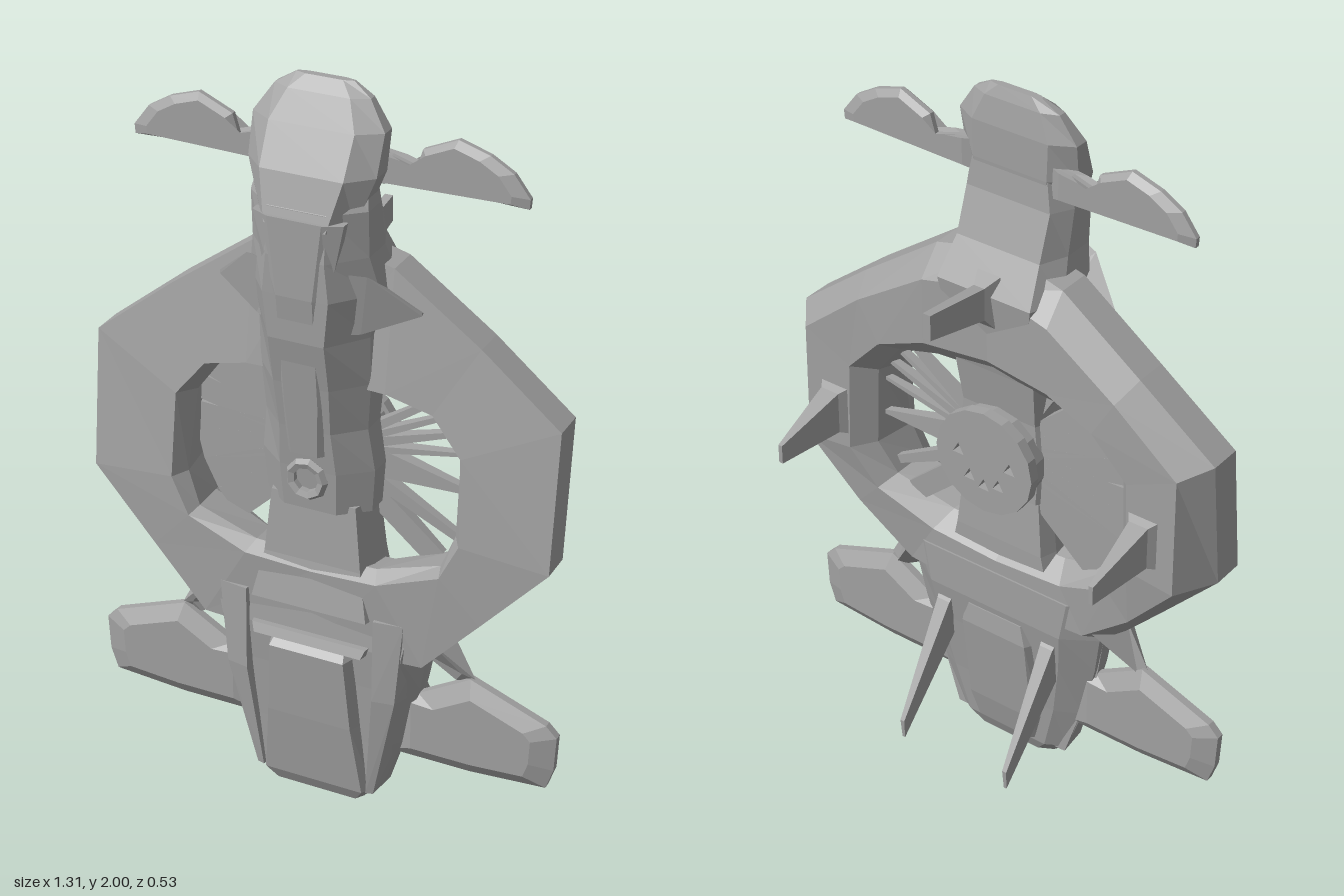
import * as THREE from 'three';

const hullGrey = new THREE.MeshStandardMaterial({ color: 0xa2a2a2, flatShading: true });
hullGrey.name = 'hull grey';

// Closed faceted solid through equal-length rings of [x,y,z]; loop joins the last ring to the first.
function loft(rings, loop = false) {
  const tris = [], n = rings[0].length, m = rings.length;
  for (let i = 0; i < (loop ? m : m - 1); i++) {
    const a = rings[i], b = rings[(i + 1) % m];
    for (let j = 0; j < n; j++) {
      const k = (j + 1) % n;
      tris.push([a[j], a[k], b[k]], [a[j], b[k], b[j]]);
    }
  }
  if (!loop) {
    const f = rings[0], l = rings[m - 1];
    for (let j = 1; j < n - 1; j++) tris.push([f[0], f[j + 1], f[j]], [l[0], l[j], l[j + 1]]);
  }
  // Turn the faces outward if the enclosed volume is negative
  let vol = 0;
  for (const [a, b, c] of tris)
    vol += a[0] * (b[1] * c[2] - b[2] * c[1]) + a[1] * (b[2] * c[0] - b[0] * c[2]) + a[2] * (b[0] * c[1] - b[1] * c[0]);
  const pos = tris.flatMap(([a, b, c]) => (vol < 0 ? [a, c, b] : [a, b, c])).flat();
  const g = new THREE.BufferGeometry();
  g.setAttribute('position', new THREE.Float32BufferAttribute(pos, 3));
  g.computeVertexNormals();
  return g;
}

// Upright body from rows [y, halfWidth, zFront, zBack]; front and back are narrowed by the factors.
function tower(rows, front = 0.6, back = 0.7) {
  return loft(rows.map(([y, w, zf, zb]) => {
    const p = zb + (zf - zb) * 0.65, q = zb + (zf - zb) * 0.3;
    return [[w * front, zf], [w, p], [w, q], [w * back, zb], [-w * back, zb], [-w, q], [-w, p], [-w * front, zf]]
      .map(([x, z]) => [x, y, z]);
  }));
}

// Lens-shaped plate in the xy plane: sharp outline, thicker inset middle.
function lens(outline, z, t, inset, s) {
  const c = outline.reduce((a, p) => [a[0] + p[0] / outline.length, a[1] + p[1] / outline.length], [0, 0]);
  const ring = (k, dz) => outline.map(([x, y]) => [s * (x + (c[0] - x) * k), y + (c[1] - y) * k, z + dz]);
  return loft([ring(inset, -t), ring(0, -t * 0.3), ring(0, t * 0.3), ring(inset, t)]);
}

// Tapered blade between two rectangles: [x, y, z, halfX, halfY].
function blade(...ends) {
  return loft(ends.map(([x, y, z, hx, hy]) =>
    [[x - hx, y - hy, z], [x + hx, y - hy, z], [x + hx, y + hy, z], [x - hx, y + hy, z]]));
}

export function createModel() {
  const model = new THREE.Group();
  const add = (name, geo) => {
    const m = new THREE.Mesh(geo, hullGrey);
    m.name = name;
    model.add(m);
    return m;
  };

  // Faceted ring hull: [outerX, outerY, innerX, innerY, zFront, zBack, inner front rise]
  const half = [
    [0, 1.6, 0, 1.2, 0.12, -0.03, 0.04], [0.19, 1.55, 0.19, 1.2, 0.12, -0.045, 0.04],
    [0.42, 1.385, 0.3, 1.18, 0.12, -0.05, 0.03], [0.635, 1.215, 0.365, 1.09, 0.13, -0.045, 0.03],
    [0.635, 0.84, 0.375, 0.87, 0.175, -0.045, 0.005], [0.46, 0.65, 0.34, 0.78, 0.185, -0.02, 0],
    [0.31, 0.49, 0.17, 0.73, 0.195, 0.005, 0], [0, 0.47, 0, 0.72, 0.19, 0.005, 0]];
  const around = [...half, ...half.slice(1, -1).reverse().map(([a, b, c, ...r]) => [-a, b, -c, ...r])];
  add('ringHull', loft(around.map(([ox, oy, ix, iy, zf, zb, rise]) => {
    const at = (k, z) => [ox + (ix - ox) * k, oy + (iy - oy) * k, z];
    return [at(0, zf - 0.01), at(0, zf - 0.1), at(0.22, zb), at(0.75, zb), at(0.93, zb + 0.06), at(1, zf - 0.04), at(0.9, zf + rise)];
  }), true));

  // Long neck running from the head down to the hub
  add('neck', tower([
    [1.84, 0.13, 0.18, 0.065], [1.72, 0.155, 0.25, 0.055], [1.6, 0.155, 0.262, 0.015], [1.5, 0.175, 0.262, -0.045],
    [1.38, 0.15, 0.26, -0.03], [1.25, 0.15, 0.235, 0], [1.12, 0.14, 0.215, 0.02], [1.0, 0.155, 0.2, 0.02], [0.88, 0.145, 0.19, 0.02]], 0.5, 0.8));
  add('noseRidge', tower([[1.7, 0.12, 0.265, 0.2], [1.5, 0.08, 0.268, 0.2], [1.2, 0.075, 0.235, 0.15], [1.05, 0.06, 0.22, 0.15]]));
  add('head', tower([
    [2.0, 0.075, 0.1, 0.08], [1.97, 0.125, 0.13, 0.07], [1.9, 0.172, 0.17, 0.06],
    [1.8, 0.168, 0.225, 0.06], [1.68, 0.125, 0.262, 0.07]], 0.65, 0.65));
  add('lowerColumn', tower([[0.9, 0.13, 0.17, 0.03], [0.72, 0.15, 0.18, 0.02], [0.59, 0.18, 0.205, 0.02]], 0.9, 0.9));

  // Tail hull with front block, bar and back pack
  add('tailHull', tower([
    [0.62, 0.33, 0.18, 0.0], [0.5, 0.3, 0.19, 0.0], [0.38, 0.28, 0.18, 0.02], [0.2, 0.235, 0.17, 0.045],
    [0.05, 0.18, 0.165, 0.06], [0.005, 0.13, 0.15, 0.08]], 0.85, 0.7));
  add('frontBlock', tower([
    [0.49, 0.11, 0.19, 0.1], [0.46, 0.12, 0.22, 0.1], [0.25, 0.135, 0.205, 0.1],
    [0.04, 0.16, 0.18, 0.08], [0, 0.13, 0.16, 0.09]], 0.88));
  add('frontBar', tower([[0.51, 0.17, 0.205, 0.1], [0.485, 0.16, 0.215, 0.1]], 0.95));
  add('backPack', tower([[0.48, 0.1, 0.1, 0], [0.42, 0.12, 0.1, -0.005], [0.15, 0.12, 0.1, 0.03], [0.06, 0.1, 0.1, 0.05]], 0.9, 0.85));

  // Hub: pierced back disc, drum and front nozzle
  const disc = new THREE.Shape().absarc(0, 0, 0.15, 0, Math.PI * 2);
  for (const [x, y] of [[-0.08, 0.01], [0.08, 0.01], [0, -0.07], [-0.045, -0.055], [0.045, -0.055]])
    disc.holes.push(new THREE.Path([[x - 0.017, y - 0.012], [x, y + 0.02], [x + 0.017, y - 0.012]].map(p => new THREE.Vector2(...p))));
  add('hubDisc', new THREE.ExtrudeGeometry(disc, { depth: 0.03, bevelEnabled: false, curveSegments: 8 })).position.set(0, 1, -0.045);
  const drum = add('hubDrum', new THREE.CylinderGeometry(0.13, 0.14, 0.12, 14));
  drum.rotation.x = Math.PI / 2;
  drum.position.set(0, 1, 0.05);
  add('hubNozzle', new THREE.TorusGeometry(0.045, 0.014, 5, 9)).position.set(0, 0.975, 0.205);

  // Spokes from hub to ring: [angle in degrees, half width at hub, half width at ring]
  const spokes = [[34, 0.012, 0.008], [26, 0.01, 0.006], [18, 0.014, 0.006], [9, 0.01, 0.005], [-7, 0.045, 0.006],
    [-28, 0.02, 0.012], [-42, 0.03, 0.03], [60, 0.03, 0.02], [90, 0.03, 0.03], [120, 0.03, 0.03], [142, 0.03, 0.045],
    [155, 0.025, 0.044], [168, 0.028, 0.036], [181, 0.03, 0.042], [193, 0.03, 0.044], [206, 0.03, 0.044], [220, 0.03, 0.05]];
  for (const [deg, w0, w1] of spokes) {
    const end = Math.abs(Math.cos(deg * Math.PI / 180)) > 0.7 ? 0.39 : 0.25;
    const r = (x, w, t) => [[x, -w, -t], [x, w, -t], [x, w, t], [x, -w, t]];
    const s = add('spoke', loft([r(0.1, w0, 0.02), r(end, w1, 0.01)]));
    s.rotation.z = deg * Math.PI / 180;
    s.position.set(0, 1, 0.05);
  }

  // Mirrored parts
  for (const s of [1, -1]) {
    const side = s > 0 ? 'left' : 'right';
    // Head wing with a narrow root and broad drooping tip
    add(side + 'HeadWing', lens([[0.1, 1.75], [0.25, 1.765], [0.38, 1.765], [0.52, 1.76], [0.522, 1.785],
      [0.48, 1.84], [0.42, 1.875], [0.34, 1.9], [0.25, 1.86], [0.235, 1.81], [0.17, 1.83], [0.1, 1.84]], 0.083, 0.022, 0.2, s));
    // Shoulder spike beside the neck
    add(side + 'Spike', loft([
      [[s * 0.06, 1.57, 0.24], [s * 0.06, 1.4, 0.24], [s * 0.08, 1.47, 0.05]],
      [[s * 0.16, 1.56, 0.2], [s * 0.14, 1.4, 0.19], [s * 0.16, 1.47, 0.06]],
      [[s * 0.272, 1.46, 0.13], [s * 0.272, 1.45, 0.13], [s * 0.272, 1.455, 0.12]]]));
    // Side pod and its strut to the hull
    add(side + 'Pod', lens([[0.18, 0.155], [0.42, 0.155], [0.63, 0.17], [0.65, 0.23], [0.655, 0.33],
      [0.625, 0.36], [0.415, 0.44], [0.27, 0.355], [0.18, 0.36]], 0.1, 0.036, 0.3, s));
    add(side + 'PodStrut', loft([
      [[s * 0.3, 0.58, 0.17], [s * 0.355, 0.57, 0.1], [s * 0.3, 0.56, 0.01], [s * 0.27, 0.48, 0.1]],
      [[s * 0.39, 0.45, 0.11], [s * 0.425, 0.435, 0.1], [s * 0.4, 0.42, 0.09], [s * 0.37, 0.42, 0.1]]]));
    // Tail arms framing the front block
    add(side + 'TailArm', loft([
      [[s * 0.17, 0.6, 0.08], [s * 0.31, 0.58, 0.08], [s * 0.26, 0.6, 0.19], [s * 0.18, 0.6, 0.2]],
      [[s * 0.16, 0.36, 0.08], [s * 0.28, 0.36, 0.08], [s * 0.24, 0.36, 0.195], [s * 0.18, 0.36, 0.205]],
      [[s * 0.14, 0.04, 0.08], [s * 0.18, 0.04, 0.08], [s * 0.17, 0.04, 0.17], [s * 0.15, 0.04, 0.175]]]));
    // Rear fins: one on the ring flank, one sloping down from the tail
    add(side + 'RingFin', blade([s * 0.485, 0.975, -0.02, 0.06, 0.08], [s * 0.485, 0.975, -0.065, 0.028, 0.06], [s * 0.487, 0.945, -0.265, 0.006, 0.027]));
    add(side + 'TailFin', loft([
      [[s * 0.14, 0.5, 0.04], [s * 0.2, 0.5, 0.04], [s * 0.19, 0.3, 0.05], [s * 0.15, 0.3, 0.05]],
      [[s * 0.15, 0.45, 0], [s * 0.19, 0.45, 0], [s * 0.185, 0.33, 0.03], [s * 0.155, 0.33, 0.03]],
      [[s * 0.165, 0.15, -0.185], [s * 0.178, 0.15, -0.185], [s * 0.176, 0.09, -0.18], [s * 0.167, 0.09, -0.18]]]));
  }

  // Upper rear fin on the centre line
  add('upperFin', blade([0, 1.47, -0.02, 0.035, 0.08], [0, 1.485, -0.06, 0.016, 0.045], [0, 1.52, -0.265, 0.011, 0.035]));
  return model;
}
